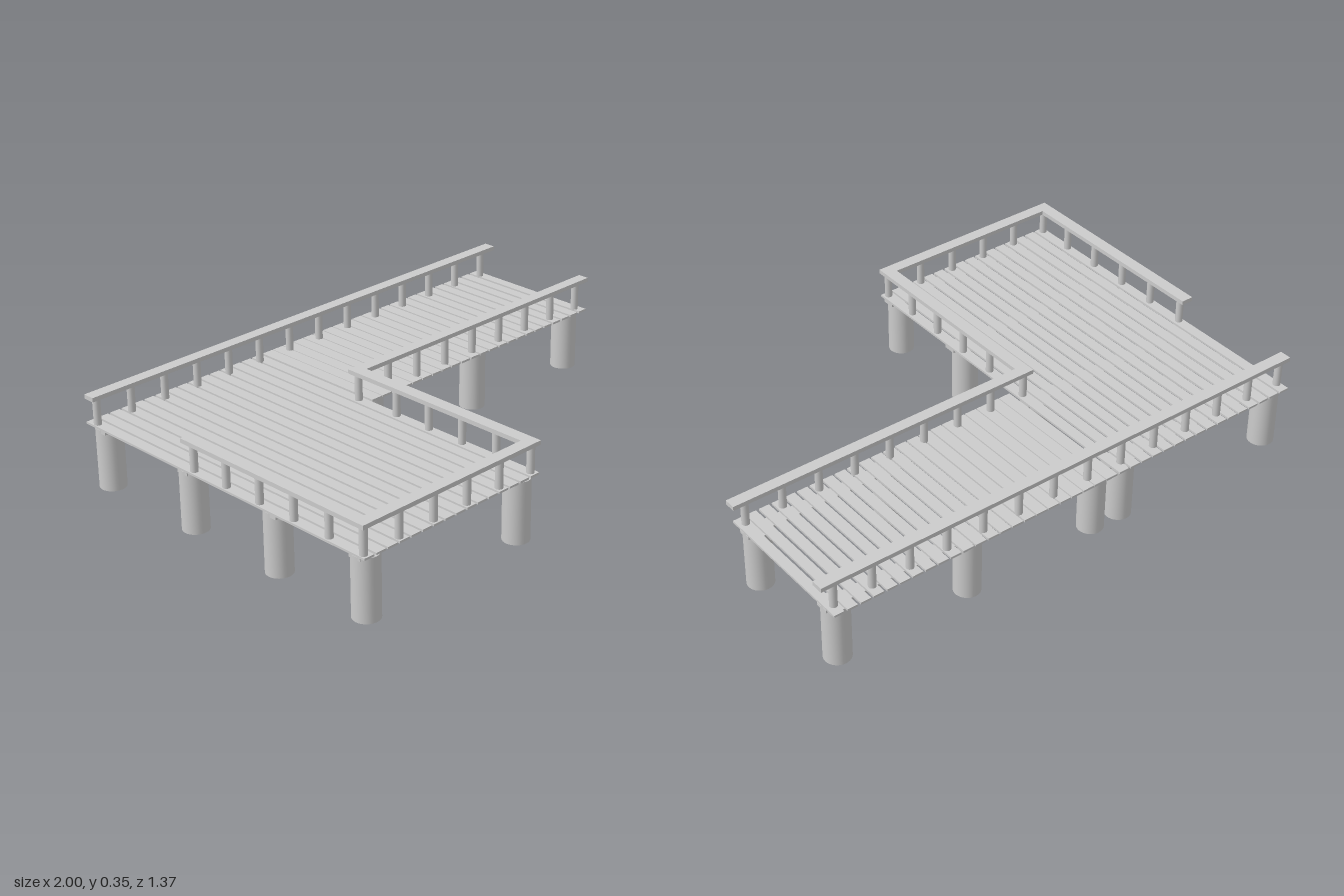
import * as THREE from 'three';

export function createModel() {
  const model = new THREE.Group();
  const material = new THREE.MeshStandardMaterial({ color: 0xcccccc });

  const group = (name) => {
    const g = new THREE.Group();
    g.name = name;
    model.add(g);
    return g;
  };

  // Box given by its limits on each axis
  function box(parent, name, [x0, x1], [y0, y1], [z0, z1]) {
    const mesh = new THREE.Mesh(new THREE.BoxGeometry(x1 - x0, y1 - y0, z1 - z0), material);
    mesh.name = name;
    mesh.position.set((x0 + x1) / 2, (y0 + y1) / 2, (z0 + z1) / 2);
    parent.add(mesh);
  }

  // Upright round timber
  function timber(parent, name, radius, x, z, y0, y1, sides) {
    const mesh = new THREE.Mesh(new THREE.CylinderGeometry(radius, radius, y1 - y0, sides), material);
    mesh.name = name;
    mesh.position.set(x, (y0 + y1) / 2, z);
    parent.add(mesh);
  }

  // Planks run along z; the gap can widen from first to last
  function planks(name, count, x0, x1, z, gapStart, gapEnd) {
    const deck = group(name);
    const pitch = (x1 - x0) / count;
    for (let i = 0; i < count; i++) {
      const gap = THREE.MathUtils.lerp(gapStart, gapEnd, i / (count - 1));
      const mid = x0 + (i + 0.5) * pitch;
      const half = (pitch - gap) / 2;
      box(deck, 'plank', [mid - half, mid + half], [0.23, 0.238], z);
    }
  }
  planks('longDeck', 16, -0.99, -0.19, [-0.68, 0.68], 0.009, 0.009);
  planks('sideDeck', 23, -0.185, 0.975, [-0.68, -0.105], 0.003, 0.012);

  // Flat beams under the planks, one per row of piles
  const beams = group('beams');
  for (const z of [0.635, 0.257, -0.173, -0.605])
    box(beams, 'beam', [-0.985, -0.195], [0.218, 0.23], [z - 0.024, z + 0.024]);
  for (const z of [-0.173, -0.612])
    box(beams, 'beam', [-0.18, 0.97], [0.218, 0.23], [z - 0.024, z + 0.024]);

  // Piles standing on the ground
  const piles = group('piles');
  for (const x of [-0.939, -0.254])
    for (const z of [0.637, 0.24, -0.173, -0.616])
      timber(piles, 'pile', 0.048, x, z, 0, 0.23, 32);
  for (const x of [-0.13, 0.402, 0.921])
    for (const z of [-0.173, -0.616])
      timber(piles, 'pile', 0.048, x, z, 0, 0.23, 32);

  // Handrails: top bar limits, then the first and last post and their number
  function railing(name, x, z, first, last, count) {
    const rail = group(name);
    box(rail, 'handrail', x, [0.336, 0.352], z);
    for (let i = 0; i < count; i++) {
      const t = i / (count - 1);
      const px = THREE.MathUtils.lerp(first[0], last[0], t);
      const pz = THREE.MathUtils.lerp(first[1], last[1], t);
      timber(rail, 'railPost', 0.014, px, pz, 0.232, 0.337, 16);
    }
  }
  railing('backRailing', [-1, 1], [-0.66, -0.615], [-0.97, -0.637], [0.942, -0.637], 14);
  railing('innerRailing', [-0.237, 1], [-0.168, -0.125], [-0.215, -0.14], [0.942, -0.14], 9);
  railing('frontRailing', [-0.99, -0.19], [0.635, 0.68], [-0.97, 0.66], [-0.215, 0.66], 6);
  railing('rightRailing', [-0.99, -0.943], [-0.168, 0.635], [-0.968, 0.508], [-0.968, -0.13], 5);
  railing('cornerRailing', [-0.237, -0.19], [-0.125, 0.635], [-0.214, 0.508], [-0.214, 0.046], 4);

  return model;
}
